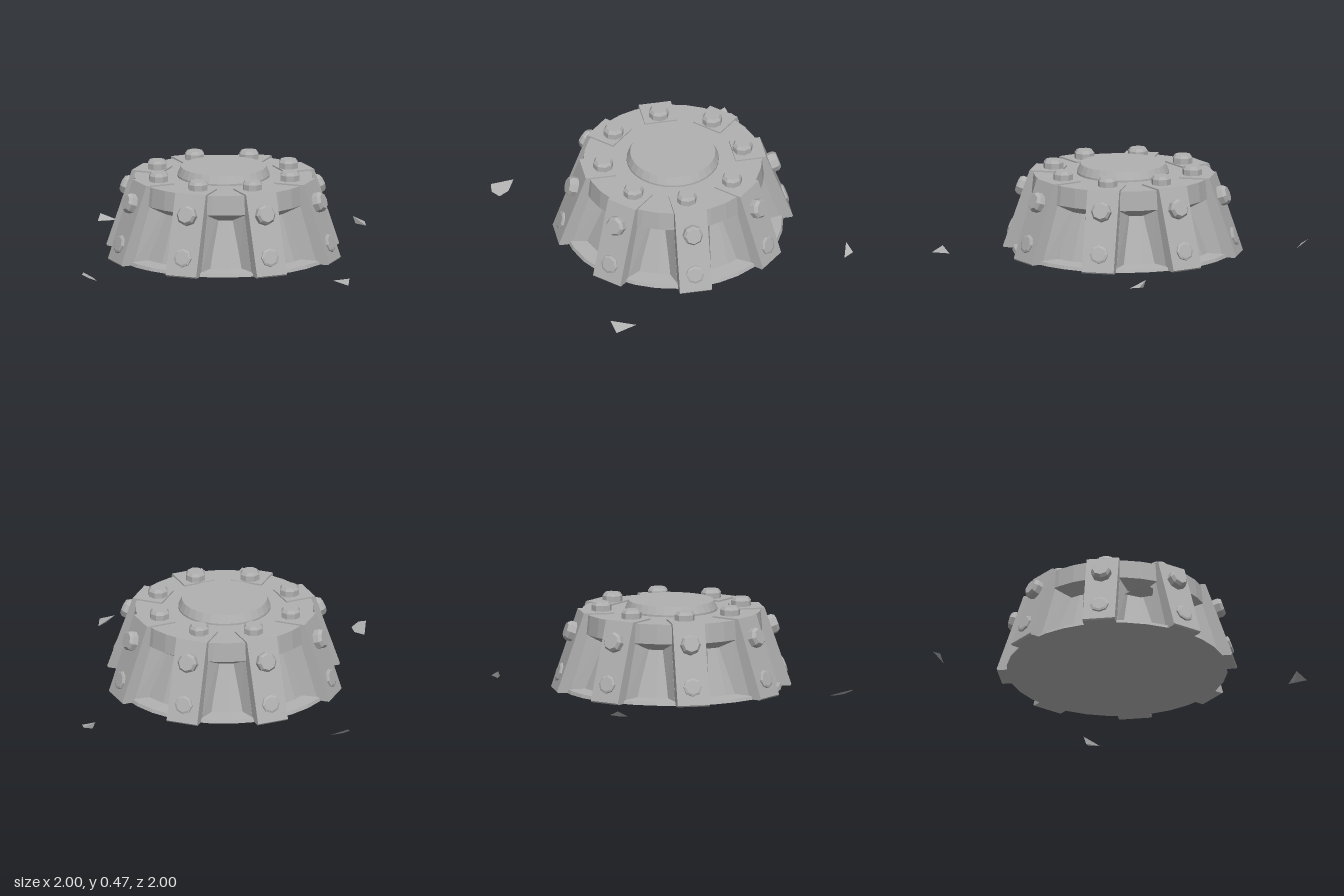
import * as THREE from 'three';
import { ConvexGeometry } from 'three/addons/geometries/ConvexGeometry.js';

const metal = new THREE.MeshStandardMaterial({ color: 0xb0b0b0, flatShading: true });
metal.name = 'grey metal';

function part(name, geometry, parent) {
  const mesh = new THREE.Mesh(geometry, metal);
  mesh.name = name;
  parent.add(mesh);
  return mesh;
}

function lathe(points, segments) {
  return new THREE.LatheGeometry(points.map(([x, y]) => new THREE.Vector2(x, y)), segments);
}

// Octagonal bolt head with a bevelled rim, standing on y = 0
function boltHead(radius, height) {
  return lathe([[radius, -0.02], [radius, height * 0.65], [radius * 0.78, height], [0, height]], 8);
}

// Sloped rib outline in radius and height, extruded across its width
function ribGeometry(width) {
  const shape = new THREE.Shape();
  [[0.325, 0.4], [0.325, 0.428], [0.492, 0.428], [0.638, 0.008], [0.632, 0], [0.45, 0]]
    .forEach(([r, y], i) => (i ? shape.lineTo(r, y) : shape.moveTo(r, y)));
  return new THREE.ExtrudeGeometry(shape, { depth: width, bevelEnabled: false })
    .translate(0, 0, -width / 2);
}

// Buttress behind each rib, widening towards the core and leaning inwards
function buttressGeometry() {
  const g = new THREE.BoxGeometry(1, 1, 1);
  const p = g.attributes.position;
  for (let i = 0; i < p.count; i++) {
    const outer = p.getX(i) > 0;
    const top = p.getY(i) > 0;
    const r = outer ? (top ? 0.47 : 0.565) : (top ? 0.38 : 0.46);
    p.setXYZ(i, r, top ? 0.32 : 0.01, Math.sign(p.getZ(i)) * (outer ? 0.088 : 0.12));
  }
  g.computeVertexNormals();
  return g;
}

export function createModel() {
  const model = new THREE.Group();
  model.name = 'model';
  const body = new THREE.Group();
  body.name = 'body';
  body.position.set(0.004, 0, -0.014);
  model.add(body);

  // Base flange, recessed wall, overhanging collar and top deck
  part('core', lathe([[0, 0], [0.592, 0], [0.585, 0.018], [0.5, 0.025], [0.41, 0.27],
    [0.488, 0.315], [0.478, 0.42], [0, 0.42]], 32), body);

  // Raised central cap
  part('cap', lathe([[0.247, 0.41], [0.247, 0.43], [0.228, 0.473], [0, 0.473]], 32), body);

  // Eight bolted ribs
  const rib = ribGeometry(0.175);
  const buttress = buttressGeometry();
  const largeBolt = boltHead(0.054, 0.047);
  const flushBolt = boltHead(0.05, 0.014);
  const lean = Math.atan2(0.146, 0.42) - Math.PI / 2;
  const slopeRadius = (y) => 0.638 - (y - 0.008) * 0.146 / 0.42;
  for (let k = 0; k < 8; k++) {
    const arm = new THREE.Group();
    arm.name = 'rib' + (k + 1);
    arm.rotation.y = (20 + 45 * k) * Math.PI / 180;
    body.add(arm);
    part('ribBeam', rib, arm);
    part('buttress', buttress, arm);
    part('topBolt', largeBolt, arm).position.set(0.38, 0.428, 0);
    for (const [name, geometry, y] of [['upperBolt', largeBolt, 0.315], ['lowerBolt', flushBolt, 0.1]]) {
      const bolt = part(name, geometry, arm);
      bolt.position.set(slopeRadius(y), y, 0);
      bolt.rotation.z = lean;
    }
  }

  // Loose chips on the ground
  const chips = [
    [[0.085, 0.005, -0.975], [0.135, 0.035, -1], [0.19, 0, -0.925], [0.13, 0, -0.96]],
    [[-1, 0.035, -0.145], [-0.89, 0.015, -0.23], [-0.905, 0, -0.145], [-0.945, 0, -0.09], [-0.99, 0.02, -0.1]],
    [[0.955, 0.04, 0.075], [1, 0.01, 0.12], [0.96, 0, 0.165], [0.96, 0, 0.09]],
    [[-0.19, 0.025, 0.93], [-0.05, 0.01, 0.925], [-0.145, 0, 1], [-0.13, 0, 0.94]],
  ];
  chips.forEach((pts, i) => {
    part('chip' + (i + 1), new ConvexGeometry(pts.map((p) => new THREE.Vector3(...p))), model);
  });
  return model;
}
